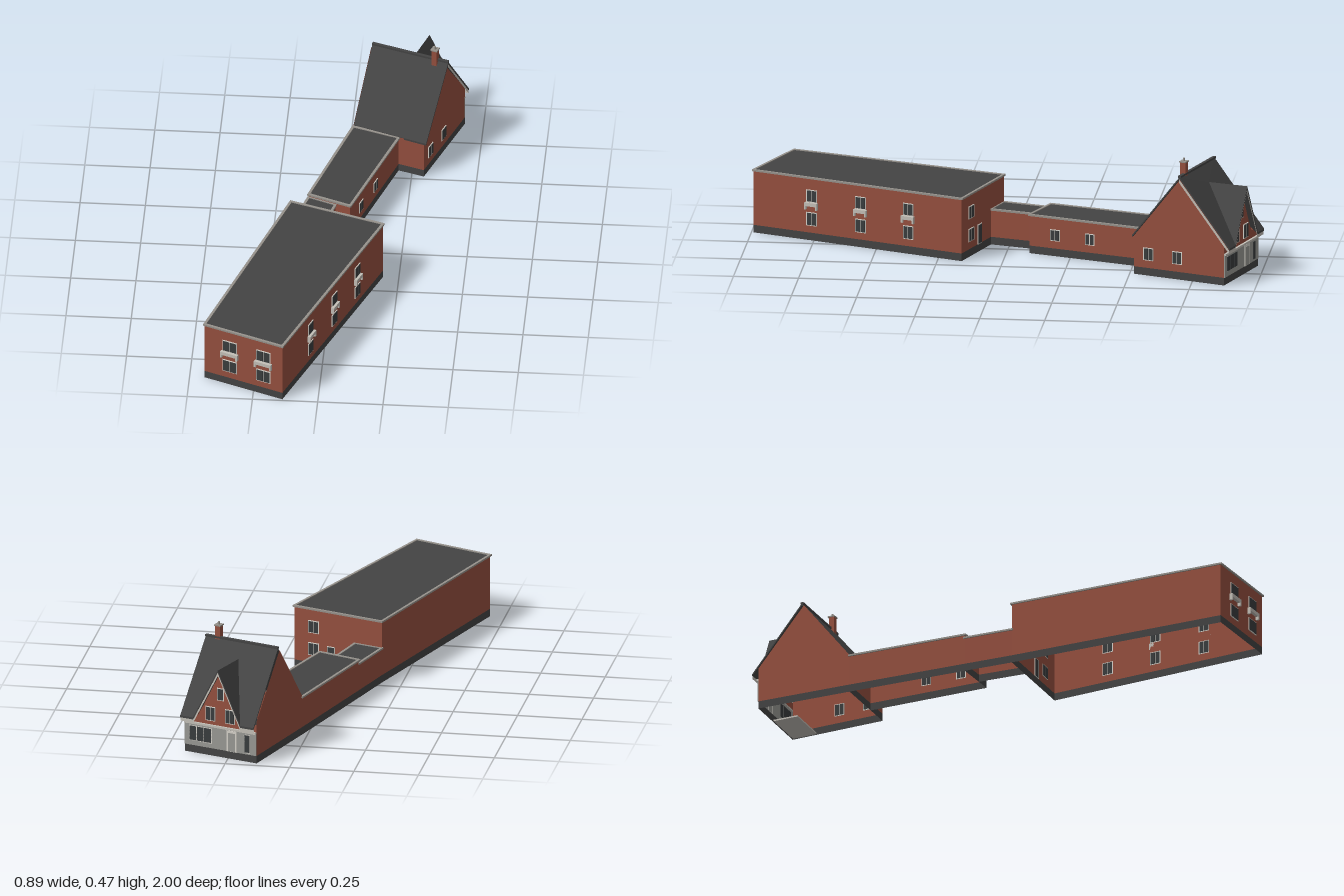
import * as THREE from 'three';

const mat = (name, color) => new THREE.MeshStandardMaterial({ name, color, side: THREE.DoubleSide });

export function createModel() {
  const M = {
    brick: mat('red brick', 0x96503f), plinth: mat('dark plinth', 0x444444), slate: mat('slate roof', 0x444444),
    trim: mat('grey coping', 0x96928c), stone: mat('pale stone', 0xc4c0b8), frame: mat('window frame', 0xd6d2ca),
    glass: mat('dark glass', 0x3a3d3e), shop: mat('grey shopfront', 0x9a9a95),
  };
  const model = new THREE.Group();
  model.name = 'brickBuilding';
  const PLINTH = 0.03;

  const group = (name, parent = model) => {
    const g = new THREE.Group();
    g.name = name;
    parent.add(g);
    return g;
  };
  // Flat polygons, each a list of [x, y, z] corners, fanned from the first corner
  const faces = (name, polys, material, parent) => {
    const pos = [];
    for (const p of polys)
      for (let i = 1; i < p.length - 1; i++) pos.push(...p[0], ...p[i], ...p[i + 1]);
    const geo = new THREE.BufferGeometry();
    geo.setAttribute('position', new THREE.Float32BufferAttribute(pos, 3));
    geo.computeVertexNormals();
    const mesh = new THREE.Mesh(geo, material);
    mesh.name = name;
    parent.add(mesh);
  };
  const box = (name, w, h, d, x, y, z, material, parent) => {
    const mesh = new THREE.Mesh(new THREE.BoxGeometry(w, h, d), material);
    mesh.name = name;
    mesh.position.set(x, y, z);
    parent.add(mesh);
    return mesh;
  };
  const at = (p, y) => [p[0], y, p[1]];
  const wall = (a, b, y0, y1) => [at(a, y0), at(b, y0), at(b, y1), at(a, y1)];

  // Walls along a plan outline given as [x, z], with a dark plinth
  const walls = (name, path, top, parent) => {
    const edges = path.slice(1).map((q, i) => [path[i], q]);
    faces(name + 'Plinth', edges.map(([a, b]) => wall(a, b, 0, PLINTH)), M.plinth, parent);
    faces(name + 'Walls', edges.map(([a, b]) => wall(a, b, PLINTH, top)), M.brick, parent);
  };
  // Local frame on a wall: x runs from p to q, z points out
  const facade = (name, p, q, parent) => {
    const g = group(name, parent);
    const dx = q[0] - p[0], dz = q[1] - p[1];
    g.position.set(p[0], 0, p[1]);
    g.rotation.y = Math.atan2(-dz, dx);
    g.userData.len = Math.hypot(dx, dz);
    return g;
  };
  // Flat roof with a raised coping round its edge
  const flatRoof = (name, outline, top, parent) => {
    faces(name, [outline.map(p => at(p, top - 0.003))], M.slate, parent);
    outline.forEach((p, i) => {
      const f = facade(name + 'Coping', p, outline[(i + 1) % outline.length], parent);
      box('coping', f.userData.len + 0.009, 0.007, 0.01, f.userData.len / 2, top - 0.0035, 0, M.trim, f);
    });
  };
  // Window: s is the centre as a fraction of the wall length
  const win = (f, s, y0, y1, w, panes = 2) => {
    const g = group('window', f), h = y1 - y0;
    g.position.set(s * f.userData.len, (y0 + y1) / 2, 0);
    box('frame', w, h, 0.004, 0, 0, 0.001, M.frame, g);
    const t = 0.003, pw = (w - t * (panes + 1)) / panes;
    for (let i = 0; i < panes; i++)
      box('pane', pw, h - 2 * t, 0.006, -w / 2 + t + pw / 2 + i * (pw + t), 0, 0.001, M.glass, g);
  };
  // Stone shelf on two brackets beneath an upper window
  const shelf = (f, s, w) => {
    const x = s * f.userData.len;
    box('stoneShelf', w, 0.014, 0.012, x, 0.143, 0.006, M.stone, f);
    for (const k of [-1, 1])
      box('stoneBracket', 0.007, 0.014, 0.012, x + k * (w / 2 - 0.0035), 0.13, 0.006, M.stone, f);
  };

  // Two-storey block
  const block = group('mainBlock');
  const [b0, b1, b2, b3] = [[-0.442, 0.868], [-0.136, 0.992], [0.189, 0.157], [-0.172, 0.034]];
  walls('mainBlock', [b0, b1, b2, b3, b0], 0.245, block);
  flatRoof('mainRoof', [b0, b1, b2, b3], 0.25, block);
  const front = facade('frontFacade', b0, b1, block);
  for (const s of [0.323, 0.758]) {
    win(front, s, 0.058, 0.111, 0.061);
    win(front, s, 0.151, 0.2, 0.061);
    shelf(front, s, 0.072);
  }
  const side = facade('sideFacade', b1, b2, block);
  for (const s of [0.28, 0.515, 0.744]) {
    win(side, s, 0.058, 0.111, 0.045);
    win(side, s, 0.151, 0.2, 0.045);
    shelf(side, s, 0.054);
  }
  const rear = facade('rearFacade', b2, b3, block);
  win(rear, 0.22, 0.06, 0.111, 0.048);
  win(rear, 0.22, 0.15, 0.2, 0.048);
  win(rear, 0.42, 0.03, 0.108, 0.034, 1);

  // Low link and single-storey wing
  const link = group('link');
  const [k0, k1, k2, k3] = [b3, [-0.062, 0.071], [-0.012, -0.11], [-0.117, -0.153]];
  walls('linkLeft', [k3, k0], 0.138, link);
  walls('linkRight', [k1, k2], 0.138, link);
  flatRoof('linkRoof', [k0, k1, k2, k3], 0.142, link);
  const wing = group('wing');
  const [w1, w2, w3] = [[0.046, -0.088], [0.198, -0.551], [0.02, -0.612]];
  walls('wing', [w3, k3, w1, w2], 0.15, wing);
  flatRoof('wingRoof', [k3, w1, w2, w3], 0.155, wing);
  const wingSide = facade('wingSide', w1, w2, wing);
  for (const s of [0.22, 0.52]) win(wingSide, s, 0.06, 0.105, 0.04);

  // Gabled house
  const house = group('house');
  const A = [0.297, -0.517], B = [0.428, -0.877], C = [0.132, -0.975], D = w3;
  walls('house', [A, B, C, D, A], 0.155, house);
  const mid = (p, q) => [(p[0] + q[0]) / 2, (p[1] + q[1]) / 2];
  const gable = (p, q) => [at(p, 0.155), at(q, 0.155), at(q, 0.168), at(mid(p, q), 0.4)];
  faces('sideGables', [gable(A, B), gable(D, C)], M.brick, house);

  // Pitched roof with a rear cross gable, as thin slabs
  const rl = [0.08, 0.41, -0.802], rr = [0.378, 0.41, -0.7];
  const fl = [0.022, 0.157, -0.618], fr = [0.306, 0.157, -0.511];
  const bl = [0.14, 0.15, -1.0], br = [0.442, 0.15, -0.9];
  const K = [0.235, 0.355, -0.798], R = [0.288, 0.357, -0.951], EL = [0.195, 0.15, -0.982], ER = [0.39, 0.15, -0.917];
  const slab = (name, pts, t = 0.008) => {
    const low = pts.map(p => [p[0], p[1] - t, p[2]]);
    const rim = pts.map((p, i) => { const j = (i + 1) % pts.length; return [p, low[i], low[j], pts[j]]; });
    faces(name, [pts, [...low].reverse(), ...rim], M.slate, house);
  };
  slab('frontSlope', [rl, fl, fr, rr]);
  slab('rearSlopeLeft', [rl, K, EL, bl]);
  slab('rearSlopeTop', [rl, rr, K]);
  slab('rearSlopeRight', [rr, br, ER, K]);
  slab('crossGableLeft', [K, R, EL]);
  slab('crossGableRight', [K, ER, R]);
  const ridge = facade('ridge', [rl[0], rl[2]], [rr[0], rr[2]], house);
  box('ridgeTile', ridge.userData.len, 0.008, 0.012, ridge.userData.len / 2, 0.411, 0, M.slate, ridge);

  // Pale bargeboards under the roof edges
  const board = (a, b) => [a, b, [b[0], b[1] - 0.014, b[2]], [a[0], a[1] - 0.014, a[2]]]
    .map(p => [p[0] - 0.001, p[1] - 0.008, p[2] + 0.002]);
  faces('bargeboards', [board(R, EL), board(R, ER), board(rr, br), board(ER, br), board(EL, bl)], M.stone, house);

  // Rear elevation: cross gable wall above a grey shopfront
  const back = facade('rearElevation', B, C, house);
  const L = back.userData.len, c = L / 2;
  faces('rearGableWall', [[[c - 0.1, 0.15, 0], [c + 0.1, 0.15, 0], [c, 0.345, 0]]], M.brick, back);
  box('shopfront', L, 0.09, 0.004, c, 0.075, 0.001, M.shop, back);
  box('shopFascia', L, 0.008, 0.01, c, 0.121, 0.004, M.stone, back);
  win(back, 0.22, 0.048, 0.11, 0.1, 3);
  win(back, 0.87, 0.035, 0.11, 0.028, 1);
  box('doorFrame', 0.044, 0.084, 0.006, 0.66 * L, 0.072, 0.002, M.frame, back);
  box('door', 0.03, 0.074, 0.008, 0.66 * L, 0.068, 0.002, M.shop, back);
  win(back, 0.36, 0.14, 0.197, 0.042);
  win(back, 0.63, 0.14, 0.197, 0.042);
  win(back, 0.5, 0.228, 0.278, 0.03, 1);
  box('shopFloor', L * 0.56, 0.006, 0.1, L * 0.29, 0.006, -0.052, M.stone, back);

  // Side windows of the house
  const gableSide = facade('houseSide', A, B, house);
  for (const s of [0.16, 0.48]) win(gableSide, s, 0.06, 0.11, 0.042);

  // Chimney on the ridge
  const chimney = group('chimney', house);
  chimney.position.set(0.326, 0, -0.712);
  chimney.rotation.y = -0.34;
  box('stack', 0.022, 0.08, 0.022, 0, 0.42, 0, M.brick, chimney);
  box('cap', 0.028, 0.005, 0.028, 0, 0.459, 0, M.trim, chimney);
  const pot = new THREE.Mesh(new THREE.CylinderGeometry(0.004, 0.005, 0.013, 8), M.trim);
  pot.name = 'chimneyPot';
  pot.position.y = 0.467;
  chimney.add(pot);

  return model;
}
